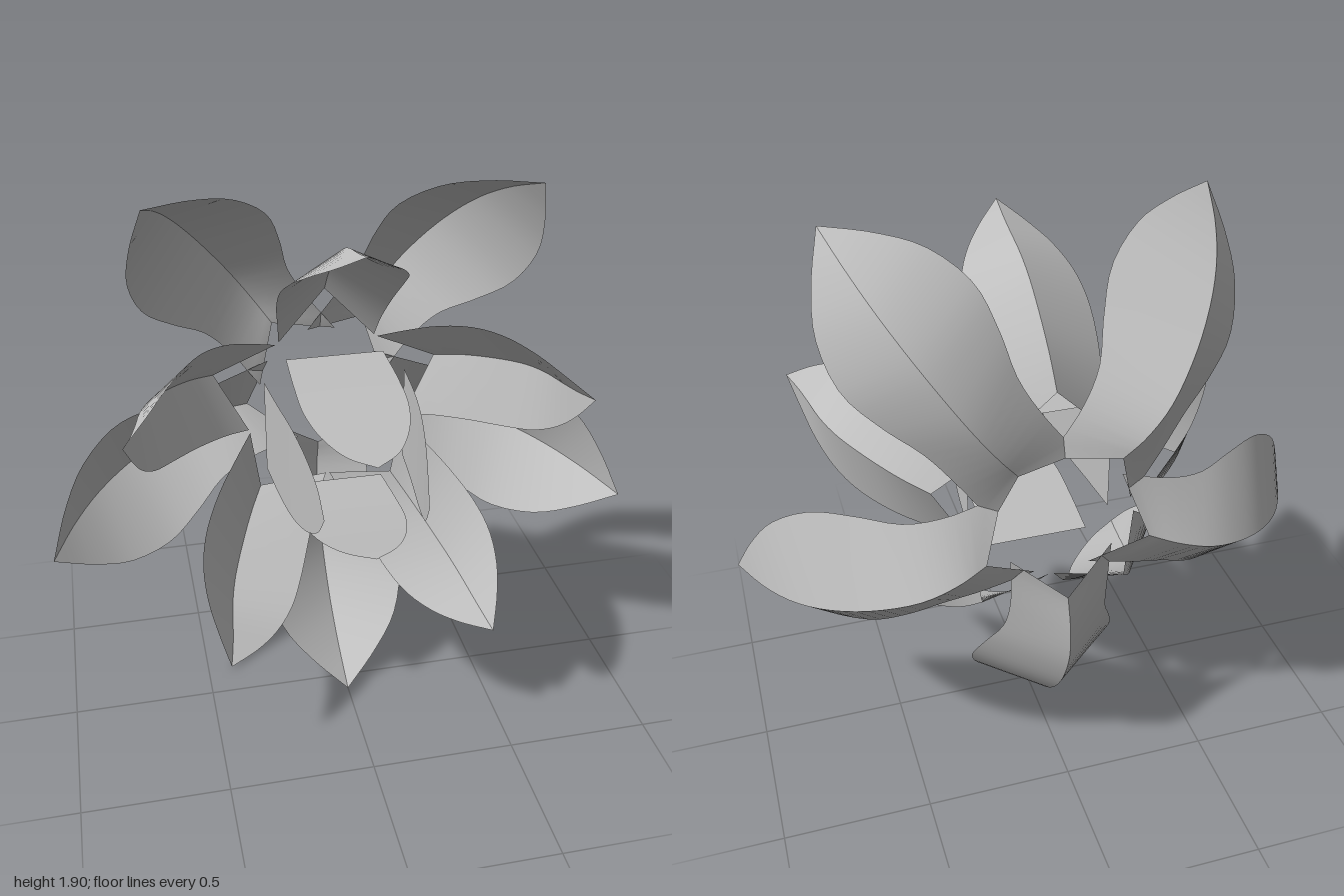
import * as THREE from 'three';

const petalGrey = new THREE.MeshStandardMaterial({ color: 0xbfbfbf, side: THREE.DoubleSide });
petalGrey.name = 'petalGrey';

// Each row runs from base to tip: midrib radius, midrib z, edge radius, edge z, half width
const OUTER = [
  [0.28, -0.455, 0.15, -0.38, 0.17],
  [0.38, -0.485, 0.33, -0.365, 0.167],
  [0.5, -0.487, 0.46, -0.325, 0.18],
  [0.64, -0.435, 0.58, -0.255, 0.225],
  [0.77, -0.35, 0.71, -0.17, 0.255],
  [0.88, -0.24, 0.85, -0.075, 0.212],
  [0.97, -0.1, 0.955, 0.0, 0.12],
  [1.05, 0.08, 1.05, 0.08, 0],
];
const MIDDLE = [
  [0.42, -0.31, 0.245, -0.28, 0.17],
  [0.5, -0.24, 0.33, -0.225, 0.18],
  [0.585, -0.14, 0.44, -0.13, 0.197],
  [0.665, -0.02, 0.54, -0.01, 0.203],
  [0.705, 0.08, 0.61, 0.1, 0.187],
  [0.73, 0.19, 0.67, 0.2, 0.142],
  [0.75, 0.27, 0.72, 0.28, 0.08],
  [0.777, 0.35, 0.777, 0.35, 0],
];
// Inner petals are flat across
const INNER = [
  [0.245, -0.14, 0.168], [0.23, 0.05, 0.174], [0.212, 0.2, 0.17],
  [0.192, 0.33, 0.138], [0.174, 0.43, 0.08], [0.165, 0.49, 0],
].map(([r, z, w]) => [r, z, r, z, w]);

// Two smooth strips that meet in a sharp fold along the midrib
function petalGeometry(rows, steps = 24) {
  const rib = new THREE.CatmullRomCurve3(rows.map(([r, z]) => new THREE.Vector3(0, r, z)));
  const edge = new THREE.CatmullRomCurve3(rows.map(([, , r, z, w]) => new THREE.Vector3(w, r, z)));
  const positions = [], index = [];
  for (const side of [1, -1]) {
    const start = positions.length / 3;
    for (let i = 0; i <= steps; i++) {
      const a = rib.getPoint(i / steps), b = edge.getPoint(i / steps);
      positions.push(0, a.y, a.z, side * b.x, b.y, b.z);
      if (i === steps) continue;
      const p = start + i * 2;
      if (side > 0) index.push(p, p + 1, p + 3, p, p + 3, p + 2);
      else index.push(p, p + 3, p + 1, p, p + 2, p + 3);
    }
  }
  const geometry = new THREE.BufferGeometry();
  geometry.setAttribute('position', new THREE.Float32BufferAttribute(positions, 3));
  geometry.setIndex(index);
  geometry.computeVertexNormals();
  return geometry;
}

// A ring of equal petals around the z axis
function petalRing(name, rows, count, startAngle, centreY) {
  const ring = new THREE.Group();
  ring.name = name + 'Ring';
  ring.position.y = centreY;
  const geometry = petalGeometry(rows);
  for (let i = 0; i < count; i++) {
    const petal = new THREE.Mesh(geometry, petalGrey);
    petal.name = name;
    petal.rotation.z = startAngle + (i * Math.PI * 2) / count;
    ring.add(petal);
  }
  return ring;
}

export function createModel() {
  const flower = new THREE.Group();
  flower.name = 'flower';
  flower.add(
    petalRing('outerPetal', OUTER, 5, Math.PI, 1.053),
    petalRing('middlePetal', MIDDLE, 5, 0, 1.036),
    petalRing('innerPetal', INNER, 4, 0, 1.036),
  );
  return flower;
}
